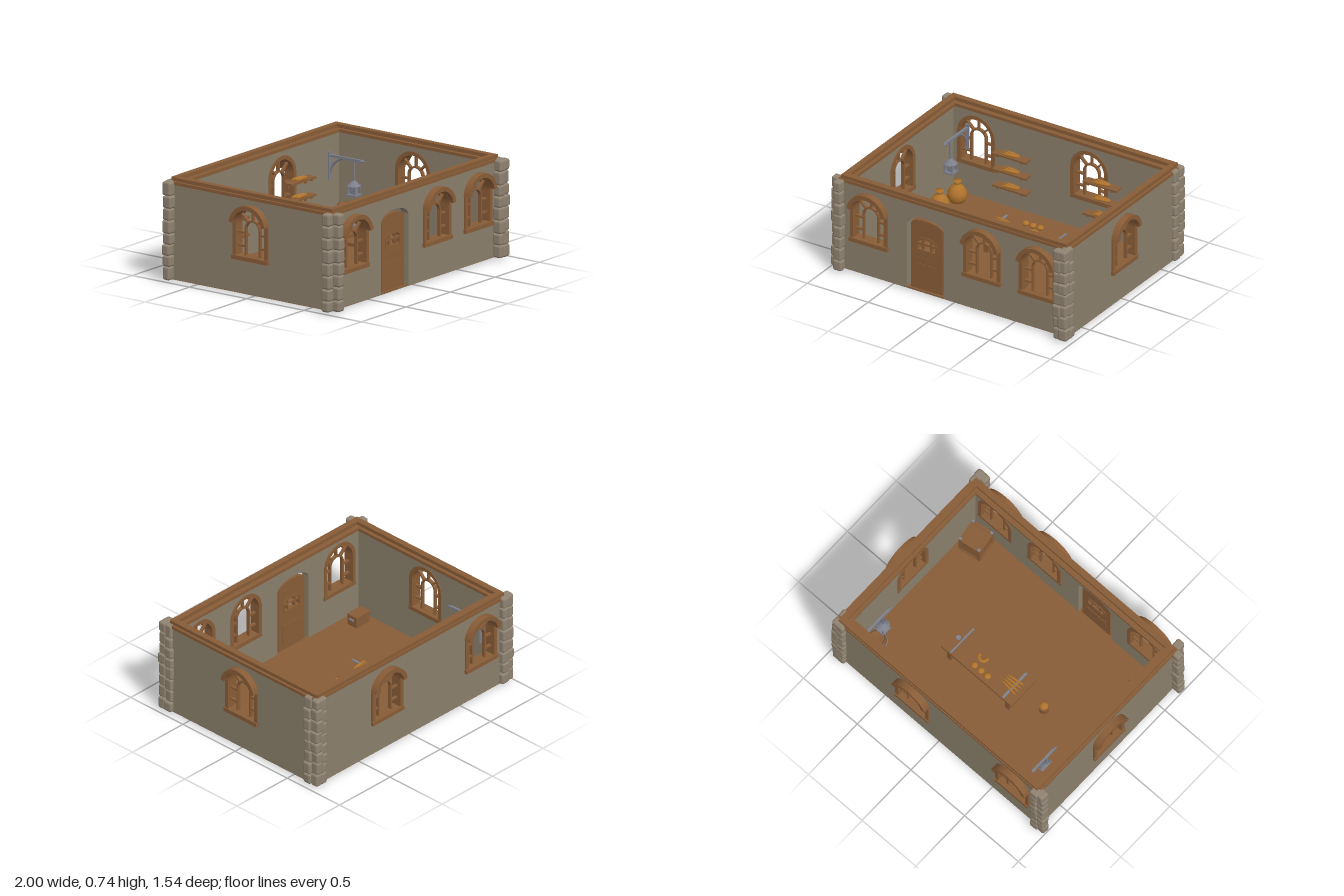
import * as THREE from 'three';
import { RoundedBoxGeometry } from 'three/addons/geometries/RoundedBoxGeometry.js';

const mat = (name, color) => {
  const m = new THREE.MeshStandardMaterial({ color });
  m.name = name;
  return m;
};

export function createModel() {
  const root = new THREE.Group();
  root.name = 'stoneRoom';
  const plaster = mat('plaster', 0x8b7f6b), stone = mat('stone', 0x8f8271), wood = mat('wood', 0x885c37);
  const gold = mat('gold', 0xb0742c), metal = mat('metal', 0x7d7f8b);

  // Helpers
  const add = (parent, name, geo, material, x = 0, y = 0, z = 0) => {
    const m = new THREE.Mesh(geo, material);
    m.name = name;
    m.position.set(x, y, z);
    parent.add(m);
    return m;
  };
  const box = (p, name, material, w, h, d, x, y, z) => add(p, name, new THREE.BoxGeometry(w, h, d), material, x, y, z);
  const cyl = (p, name, material, r1, r2, h, x, y, z) => add(p, name, new THREE.CylinderGeometry(r1, r2, h, 16), material, x, y, z);
  const group = (p, name, x = 0, y = 0, z = 0, ry = 0) => {
    const g = new THREE.Group();
    g.name = name;
    g.position.set(x, y, z);
    g.rotation.y = ry;
    p.add(g);
    return g;
  };
  // Upright opening with an elliptical top
  const arch = (Type, cx, w, y0, spring, rise) => {
    const s = new Type();
    s.moveTo(cx - w / 2, y0);
    s.lineTo(cx + w / 2, y0);
    s.lineTo(cx + w / 2, spring);
    s.absellipse(cx, spring, w / 2, rise, 0, Math.PI, false);
    s.lineTo(cx - w / 2, y0);
    return s;
  };
  const extrude = (shape, depth) => new THREE.ExtrudeGeometry(shape, { depth, bevelEnabled: false, curveSegments: 20 });

  // Arched window: frame, sill, projecting hood and glazing bars
  const addWindow = (parent, cx) => {
    const w = group(parent, 'window', cx);
    const frame = arch(THREE.Shape, 0, 0.306, 0.25, 0.495, 0.153);
    frame.holes.push(arch(THREE.Path, 0, 0.25, 0.28, 0.495, 0.125));
    add(w, 'windowFrame', extrude(frame, 0.08), wood, 0, 0, -0.067);
    box(w, 'windowSill', wood, 0.312, 0.03, 0.09, 0, 0.265, -0.023);
    const hood = new THREE.Shape();
    hood.absarc(0, 0.495, 0.158, 0.16, Math.PI - 0.16, false);
    hood.absarc(0, 0.495, 0.126, Math.PI - 0.16, 0.16, true);
    add(w, 'windowHood', extrude(hood, 0.09), wood, 0, 0, -0.038);
    const inner = arch(THREE.Shape, 0, 0.134, 0.28, 0.47, 0.067);
    inner.holes.push(arch(THREE.Path, 0, 0.11, 0.281, 0.47, 0.055));
    add(w, 'innerArch', extrude(inner, 0.025), wood, 0, 0, -0.038);
    for (const s of [-1, 1]) for (const y of [0.345, 0.44])
      box(w, 'crossBar', wood, 0.066, 0.013, 0.022, s * 0.094, y, -0.026);
    for (const a of [0.25, 0.5, 0.75].map(t => t * Math.PI)) {
      const spoke = box(w, 'spoke', wood, 0.085, 0.013, 0.022, Math.cos(a) * 0.1, 0.475 + Math.sin(a) * 0.1, -0.026);
      spoke.rotation.z = a;
    }
  };

  // Walls, outer face at local z = 0
  const addWall = (name, x, z, ry, x0, x1, windows, door) => {
    const g = group(root, name, x, 0, z, ry);
    const s = new THREE.Shape([[x0, 0.012], [x1, 0.012], [x1, 0.7], [x0, 0.7]].map(p => new THREE.Vector2(...p)));
    for (const cx of windows) {
      s.holes.push(arch(THREE.Path, cx, 0.28, 0.265, 0.495, 0.14));
      addWindow(g, cx);
    }
    if (door) s.holes.push(arch(THREE.Path, door, 0.305, 0.0125, 0.52, 0.072));
    add(g, name + 'Panel', extrude(s, 0.06), plaster, 0, 0, -0.06);
    return g;
  };
  addWall('frontWall', 0, 0.692, 0, -0.935, 0.94, [-0.69, 0.24, 0.7], -0.229);
  addWall('backWall', 0, -0.717, Math.PI, -0.94, 0.935, [0.69, -0.24], 0);
  addWall('leftWall', 0.942, 0, Math.PI / 2, -0.69, 0.715, [0.012], 0);
  addWall('rightWall', -0.937, 0, -Math.PI / 2, -0.715, 0.69, [-0.012], 0);
  box(root, 'floor', wood, 1.876, 0.012, 1.406, 0.0025, 0.015, -0.0125);

  // Door with a small four-pane window and raised panel
  const door = group(root, 'door', -0.229, 0, 0.645);
  const slab = arch(THREE.Shape, 0, 0.256, 0.02, 0.52, 0.042);
  slab.holes.push(arch(THREE.Path, 0, 0.15, 0.33, 0.39, 0.03));
  add(door, 'doorSlab', extrude(slab, 0.03), wood);
  const trim = arch(THREE.Shape, 0, 0.174, 0.318, 0.39, 0.042);
  trim.holes.push(arch(THREE.Path, 0, 0.142, 0.334, 0.39, 0.026));
  add(door, 'doorWindowTrim', extrude(trim, 0.04), wood, 0, 0, -0.005);
  box(door, 'doorWindowBar', wood, 0.15, 0.015, 0.03, 0, 0.377, 0.015);
  for (const x of [-0.035, 0.035]) box(door, 'doorWindowPost', wood, 0.013, 0.09, 0.03, x, 0.372, 0.015);
  box(door, 'doorPanel', wood, 0.18, 0.16, 0.038, 0, 0.14, 0.015);
  for (let i = 0; i < 5; i++) add(door, 'doorStud', new THREE.SphereGeometry(0.005, 8, 6), wood, -0.07 + i * 0.035, 0.265, 0.031);

  // Wall-top beams: broad plank with a narrower rail above
  for (const [z, name] of [[0.654, 'frontBeam'], [-0.683, 'backBeam']]) {
    box(root, name, wood, 1.89, 0.022, 0.09, 0.003, 0.699, z);
    box(root, name + 'Rail', wood, 1.85, 0.026, 0.045, 0.004, 0.723, z + Math.sign(z) * 0.014);
  }
  for (const [x, name] of [[0.905, 'leftBeam'], [-0.898, 'rightBeam']]) {
    box(root, name, wood, 0.09, 0.022, 1.42, x, 0.698, -0.0125);
    box(root, name + 'Rail', wood, 0.045, 0.026, 1.39, x + Math.sign(x) * 0.004, 0.722, -0.005);
  }

  // Corner stacks of rounded stones
  let seed = 7;
  const rnd = () => (seed = (seed * 16807) % 2147483647) / 2147483647;
  const addStack = (x, z) => {
    const g = group(root, 'cornerStones', x, 0, z);
    let y = 0.013;
    for (let i = 0; i < 8; i++) {
      const h = i === 7 ? 0.712 - y : 0.087 + (rnd() - 0.5) * 0.02;
      const s = add(g, 'stone', new RoundedBoxGeometry(0.06 + rnd() * 0.012, h, 0.06 + rnd() * 0.012, 3, 0.016), stone,
        (rnd() - 0.5) * 0.008, y + h / 2, (rnd() - 0.5) * 0.008);
      s.rotation.y = (rnd() - 0.5) * 0.12;
      y += h;
    }
  };
  for (const [a, b] of [[0.677, 0.733], [-0.652, -0.722]]) {
    addStack(-0.964, b < 0 ? -0.712 : a);
    addStack(-0.913, b);
    addStack(0.936, a);
    addStack(0.936, b);
    addStack(0.892, b);
  }

  // Table laid with bread and tools
  const table = group(root, 'table', 0.0775, 0, -0.12);
  box(table, 'tableTop', wood, 0.655, 0.025, 0.25, 0, 0.2, 0);
  for (const x of [-0.27, 0.27]) {
    for (const z of [-0.09, 0.09]) box(table, 'tableLeg', wood, 0.035, 0.17, 0.035, x, 0.105, z);
    box(table, 'tableBrace', wood, 0.025, 0.025, 0.18, x, 0.08, 0);
  }
  box(table, 'metalStrap', metal, 0.018, 0.008, 0.245, -0.243, 0.215, 0);
  box(table, 'toolHandle', metal, 0.012, 0.01, 0.24, 0.245, 0.216, 0.0);
  cyl(table, 'toolKnob', metal, 0.018, 0.018, 0.01, 0.28, 0.217, 0);
  const loaf = (p, x, y, z, sx, sy, sz, ry = 0) => {
    const m = add(p, 'loaf', new THREE.SphereGeometry(1, 14, 10), gold, x, y, z);
    m.scale.set(sx, sy, sz);
    m.rotation.y = ry;
  };
  for (let i = 0; i < 3; i++) loaf(table, -0.06 + i * 0.06, 0.227, -0.077, 0.025, 0.018, 0.025);
  for (let i = 0; i < 4; i++) loaf(table, -0.225, 0.222, -0.04 + i * 0.025, 0.072, 0.011, 0.009, (i - 1.5) * 0.08);
  const roll = add(table, 'curvedRoll', new THREE.TorusGeometry(0.032, 0.012, 8, 14, 3.4), gold, 0.055, 0.223, 0.01);
  roll.rotation.x = -Math.PI / 2;

  // Bracketed shelves on the back wall
  for (const x of [-0.367, 0.378]) for (const y of [0.2, 0.325, 0.45]) {
    const s = group(root, 'shelf', x, y, -0.605);
    box(s, 'shelfBoard', wood, 0.275, 0.014, 0.07, 0, 0, 0);
    for (const bx of [-0.1, 0.1]) {
      box(s, 'shelfBracket', wood, 0.016, 0.04, 0.014, bx, -0.025, -0.03);
      box(s, 'shelfArm', wood, 0.016, 0.012, 0.06, bx, -0.013, 0);
    }
    for (let i = 0; i < 3; i++) loaf(s, 0, 0.016, -0.018 + i * 0.018, 0.07, 0.01, 0.009, (i - 1) * 0.12);
  }

  // Hanging lanterns on wall brackets
  for (const x of [-0.76, 0.77]) {
    const g = group(root, 'lanternBracket', x, 0, 0);
    box(g, 'wallPlate', metal, 0.03, 0.2, 0.012, 0, 0.47, -0.652);
    box(g, 'bracketArm', metal, 0.016, 0.018, 0.29, 0, 0.54, -0.505);
    const brace = add(g, 'bracketBrace', new THREE.TorusGeometry(0.15, 0.008, 6, 14, Math.PI / 2), metal, 0, 0.39, -0.5);
    brace.rotation.y = -Math.PI / 2;
    brace.rotation.y = Math.PI / 2;
    cyl(g, 'hangingRod', metal, 0.006, 0.006, 0.16, 0, 0.455, -0.44);
    cyl(g, 'lanternRoof', metal, 0.012, 0.048, 0.035, 0, 0.375, -0.44);
    box(g, 'lanternBase', metal, 0.08, 0.012, 0.08, 0, 0.293, -0.44);
    box(g, 'lanternCore', metal, 0.04, 0.06, 0.04, 0, 0.325, -0.44);
    for (const px of [-0.03, 0.03]) for (const pz of [-0.03, 0.03])
      box(g, 'lanternPost', metal, 0.01, 0.07, 0.01, px, 0.327, -0.44 + pz);
    const tip = add(g, 'armTip', new THREE.ConeGeometry(0.014, 0.035, 8), metal, 0, 0.54, -0.355);
    tip.rotation.x = Math.PI / 2;
  }

  // Tied sacks
  const sackProfile = [[0, 0], [0.05, 0.003], [0.07, 0.04], [0.068, 0.08], [0.045, 0.118], [0.02, 0.132], [0.017, 0.142], [0.03, 0.165], [0, 0.16]]
    .map(p => new THREE.Vector2(...p));
  for (const [x, z] of [[-0.76, -0.525], [-0.785, -0.34]])
    add(root, 'sack', new THREE.LatheGeometry(sackProfile, 20), gold, x, 0.02, z);

  // Barrel with metal hoops, and a small tub
  const barrelProfile = [[0, 0], [0.06, 0], [0.075, 0.06], [0.077, 0.1], [0.073, 0.15], [0.062, 0.2], [0.052, 0.2], [0.052, 0.185], [0, 0.185]]
    .map(p => new THREE.Vector2(...p));
  add(root, 'barrel', new THREE.LatheGeometry(barrelProfile, 20), wood, 0.77, 0.02, -0.505);
  for (const y of [0.07, 0.17]) {
    const hoop = add(root, 'barrelHoop', new THREE.TorusGeometry(0.073, 0.006, 6, 24), metal, 0.77, y, -0.505);
    hoop.rotation.x = Math.PI / 2;
  }
  cyl(root, 'tub', wood, 0.042, 0.034, 0.08, -0.387, 0.06, -0.062);
  loaf(root, -0.387, 0.1, -0.062, 0.03, 0.015, 0.03);

  // Crate with edge battens
  const crate = group(root, 'crate', 0.772, 0, 0.518, 0.14);
  box(crate, 'crateBody', wood, 0.165, 0.165, 0.165, 0, 0.105, 0);
  for (const a of [-1, 1]) for (const b of [-1, 1]) {
    box(crate, 'cratePost', wood, 0.022, 0.2, 0.022, a * 0.077, 0.1, b * 0.077);
    box(crate, 'crateRailX', wood, 0.17, 0.022, 0.02, 0, 0.105 + a * 0.078, b * 0.079);
    box(crate, 'crateRailZ', wood, 0.02, 0.022, 0.17, b * 0.079, 0.105 + a * 0.078, 0);
    box(crate, 'crateCap', metal, 0.02, 0.008, 0.02, a * 0.077, 0.202, b * 0.077);
  }

  // Small chest with side handles
  box(root, 'chest', wood, 0.13, 0.075, 0.085, -0.76, 0.058, 0.515);
  box(root, 'chestLid', wood, 0.138, 0.014, 0.092, -0.76, 0.102, 0.515);
  for (const s of [-1, 1]) box(root, 'chestHandle', metal, 0.012, 0.012, 0.04, -0.76 + s * 0.072, 0.075, 0.515);
  return root;
}
